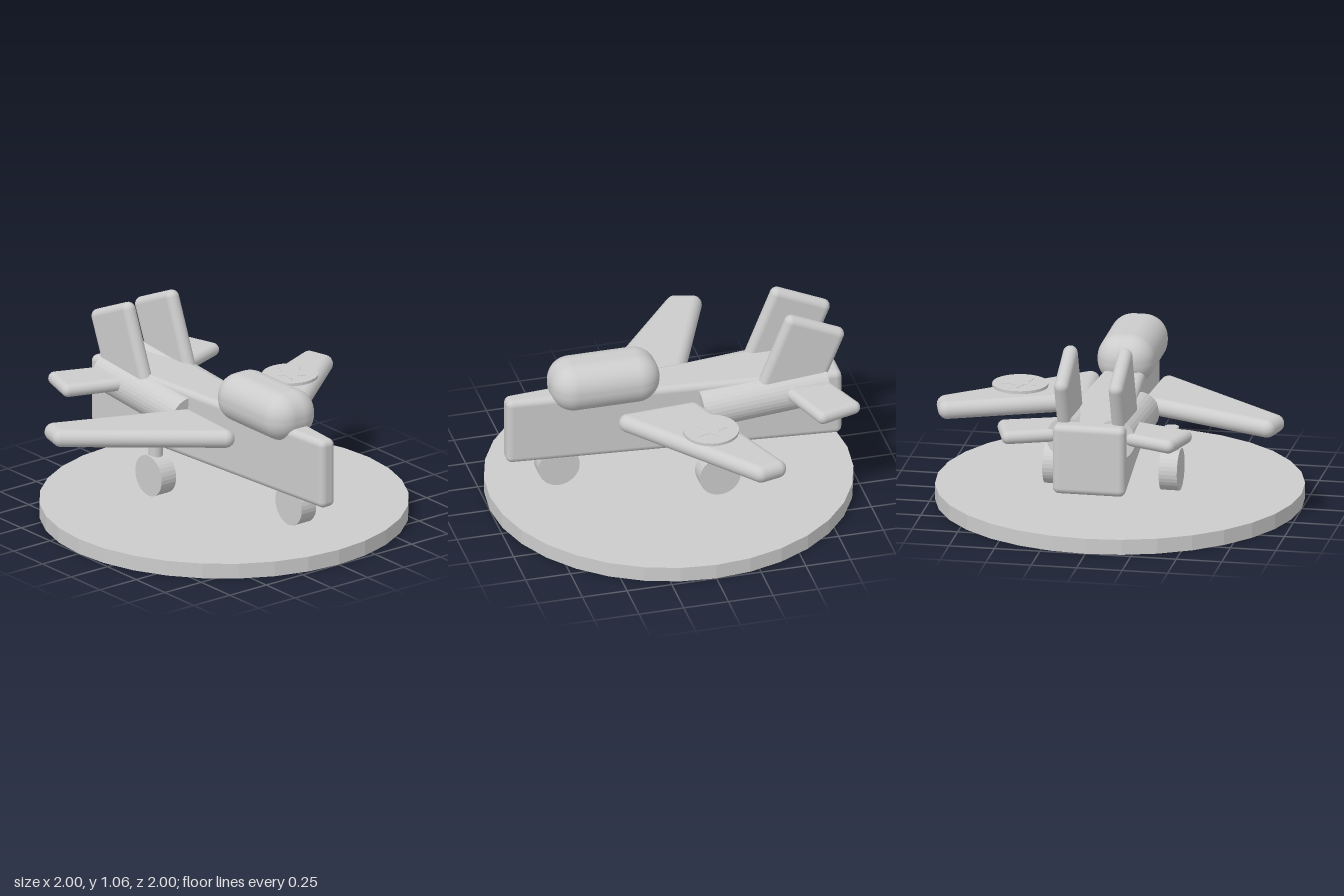
import * as THREE from 'three';
import { ConvexGeometry } from 'three/addons/geometries/ConvexGeometry.js';
import { RoundedBoxGeometry } from 'three/addons/geometries/RoundedBoxGeometry.js';

const V = (x, y, z) => new THREE.Vector3(x, y, z);

// Convex solid with fully rounded edges: hull of balls of radius r at the corners
function roundedHull(corners, r, poleAlongX = false) {
  const ball = new THREE.SphereGeometry(r, 20, 10);
  if (poleAlongX) ball.rotateZ(Math.PI / 2);
  const b = ball.attributes.position;
  const points = [];
  for (const c of corners) {
    for (let i = 0; i < b.count; i++) points.push(V(0, 0, 0).fromBufferAttribute(b, i).add(c));
  }
  const geo = new ConvexGeometry(points);
  const pos = geo.attributes.position, nor = geo.attributes.normal;
  const p = V(0, 0, 0);
  // smooth normals point away from the nearest ball centre
  for (let i = 0; i < pos.count; i++) {
    p.fromBufferAttribute(pos, i);
    let near = corners[0];
    for (const c of corners) if (c.distanceTo(p) < near.distanceTo(p)) near = c;
    p.sub(near).normalize();
    nor.setXYZ(i, p.x, p.y, p.z);
  }
  return geo;
}

// Faceted cylinder
function facetedCylinder(r, h, sides = 32) {
  const geo = new THREE.CylinderGeometry(r, r, h, sides).toNonIndexed();
  geo.computeVertexNormals();
  return geo;
}

export function createModel() {
  const model = new THREE.Group();
  model.name = 'toyJet';
  const grey = new THREE.MeshStandardMaterial({ color: 0xcccccc });
  grey.name = 'lightGrey';

  const add = (name, geo, x = 0, y = 0, z = 0) => {
    const mesh = new THREE.Mesh(geo, grey);
    mesh.name = name;
    mesh.position.set(x, y, z);
    model.add(mesh);
    return mesh;
  };

  // Round display base
  add('base', facetedCylinder(1, 0.085), 0, 0.0425, 0);

  // Fuselage, narrow at the nose and wide at the tail
  const bodyCorners = [];
  for (const s of [-1, 1]) {
    for (const y of [0.335, 0.655]) {
      bodyCorners.push(V(s * 0.015, y, 0.88), V(s * 0.165, y, -0.885));
    }
  }
  add('fuselage', roundedHull(bodyCorners, 0.035));

  // Canopy
  add('canopy', new RoundedBoxGeometry(0.315, 0.272, 0.605, 8, 0.128), 0, 0.733, 0.366);

  // Plan corners as [x, z], fin corners as [z, y]
  const wing = [[0.215, 0.285], [0.905, -0.275], [0.88, -0.37], [0.19, -0.085]];
  const tail = [[0.225, -0.635], [0.497, -0.73], [0.44, -0.915], [0.225, -0.83]];
  const fin = [[-0.645, 1.02], [-0.9, 0.905], [-0.795, 0.65], [-0.5, 0.66]];

  for (const [side, s] of [['left', 1], ['right', -1]]) {
    add(side + 'Wing', roundedHull(wing.map(([x, z]) => V(s * x, 0.565, z)), 0.05));
    add(side + 'Tailplane', roundedHull(tail.map(([x, z]) => V(s * x, 0.608, z)), 0.037));
    add(side + 'Fin', roundedHull(fin.map(([z, y]) => V(s * 0.15, y, z)), 0.04, true));

    // Engine, tilted up towards the rear
    const engine = add(side + 'Engine', facetedCylinder(0.112, 0.7), s * 0.133, 0.572, -0.493);
    engine.rotation.x = -Math.PI / 2 + 0.085;
  }

  // Landing gear
  for (const [name, x, z] of [['left', 0.32, -0.19], ['right', -0.32, -0.19], ['nose', 0, 0.625]]) {
    const wheel = add(name + 'Wheel', facetedCylinder(0.115, 0.1), x, 0.245, z);
    wheel.rotation.z = Math.PI / 2;
    add(name + 'Strut', facetedCylinder(0.039, 0.24), x, 0.365, z);
  }

  // Round badge with a plain star on the left wing
  add('wingDisc', facetedCylinder(0.152, 0.016), 0.53, 0.644, -0.095);
  const star = new THREE.Shape();
  for (let i = 0; i < 10; i++) {
    const r = i % 2 ? 0.045 : 0.1, a = (i * Math.PI) / 5;
    star[i ? 'lineTo' : 'moveTo'](r * Math.sin(a), r * Math.cos(a));
  }
  star.closePath();
  const starGeo = new THREE.ExtrudeGeometry(star, { depth: 0.003, bevelEnabled: false });
  starGeo.rotateX(-Math.PI / 2);
  add('wingStar', starGeo, 0.53, 0.651, -0.095);

  return model;
}
